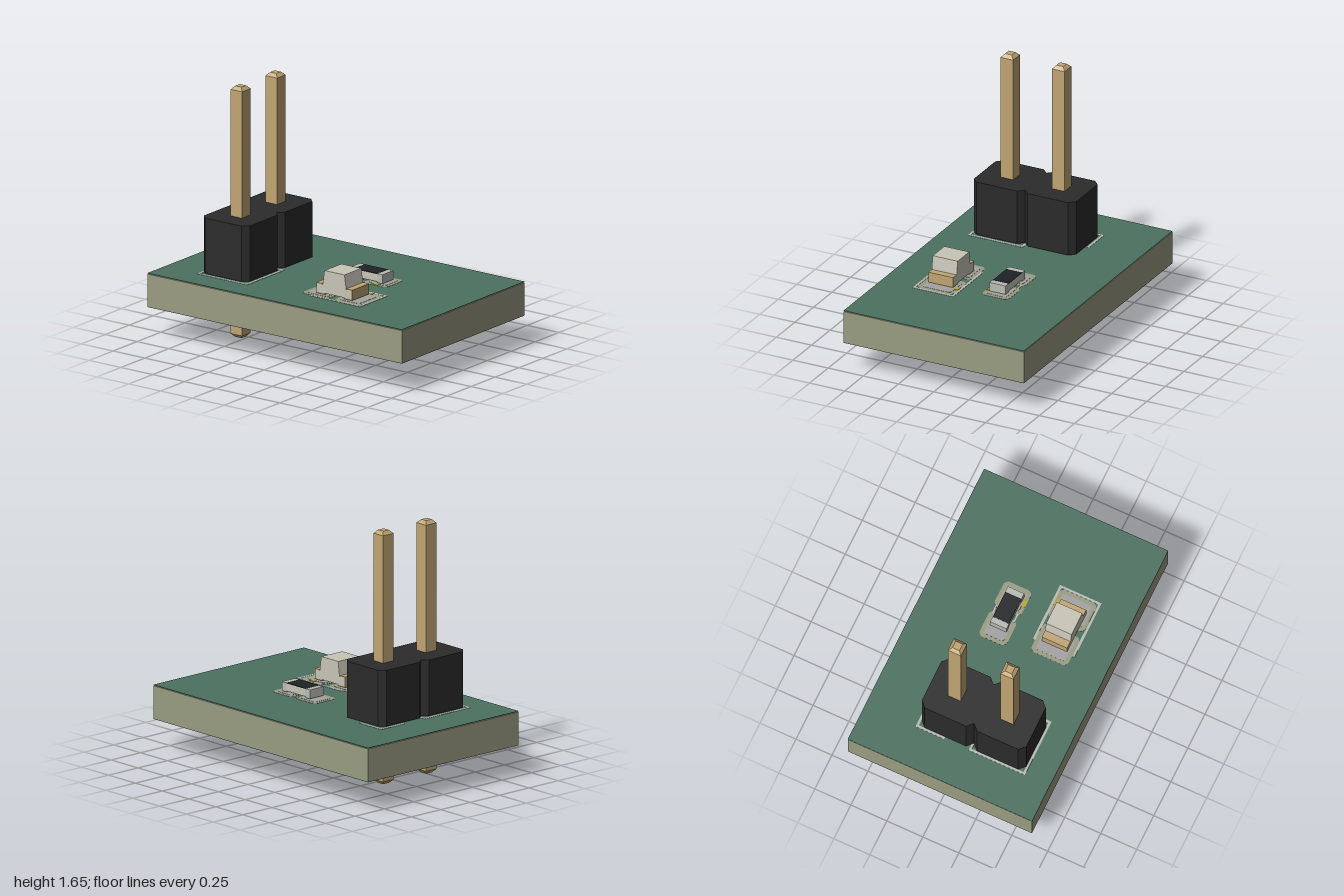
import * as THREE from 'three';

const mat = (color) => new THREE.MeshStandardMaterial({ color, flatShading: true });
const M = {
  core: mat(0x9a9d82), mask: mat(0x4c7160), copper: mat(0xb8ab1c), silk: mat(0xb9bbb5),
  tin: mat(0xa3a3a3), plastic: mat(0x2b2b2b), gold: mat(0xc2a674), ceramic: mat(0xc8c6b8),
  cap: mat(0xbcbcb6), dark: mat(0x202325),
};
const TOP = 0.424, BOTTOM = 0.2;

export function createModel() {
  const root = new THREE.Group();

  function add(parent, name, geometry, material, x = 0, y = 0, z = 0) {
    const mesh = new THREE.Mesh(geometry, material);
    mesh.name = name;
    mesh.position.set(x, y, z);
    parent.add(mesh);
    return mesh;
  }
  function group(name) {
    const g = new THREE.Group();
    g.name = name;
    root.add(g);
    return g;
  }
  // box given by its limits on each axis
  function box(parent, name, material, [x0, x1], [y0, y1], [z0, z1]) {
    return add(parent, name, new THREE.BoxGeometry(x1 - x0, y1 - y0, z1 - z0), material,
      (x0 + x1) / 2, (y0 + y1) / 2, (z0 + z1) / 2);
  }
  // flat outline raised upwards
  function slab(shape, height) {
    return new THREE.ExtrudeGeometry(shape, { depth: height, bevelEnabled: false, curveSegments: 8 })
      .rotateX(-Math.PI / 2);
  }
  function roundedRect(w, d, r) {
    const s = new THREE.Shape(), a = w / 2, b = d / 2;
    s.absarc(a - r, b - r, r, 0, Math.PI / 2);
    s.absarc(r - a, b - r, r, Math.PI / 2, Math.PI);
    s.absarc(r - a, r - b, r, Math.PI, Math.PI * 1.5);
    s.absarc(a - r, r - b, r, Math.PI * 1.5, Math.PI * 2);
    return s;
  }
  // box whose upper face is smaller than its lower face
  function frustum(w0, d0, w1, d1, h) {
    const g = new THREE.BoxGeometry(1, h, 1), p = g.attributes.position;
    for (let i = 0; i < p.count; i++) {
      const up = p.getY(i) > 0;
      p.setX(i, p.getX(i) * (up ? w1 : w0));
      p.setZ(i, p.getZ(i) * (up ? d1 : d0));
    }
    g.computeVertexNormals();
    return g;
  }

  // board: core, copper and solder mask layers
  const board = group('circuitBoard');
  box(board, 'boardCore', M.core, [-1, 1], [0.203, 0.417], [-0.64, 0.64]);
  box(board, 'copperLayer', M.copper, [-0.92, 0.91], [0.417, 0.421], [-0.56, 0.56]);
  box(board, 'topMask', M.mask, [-1, 1], [0.421, TOP], [-0.64, 0.64]);
  box(board, 'bottomMask', M.mask, [-1, 1], [BOTTOM, 0.203], [-0.64, 0.64]);

  // surface pads, each in a mask opening
  const pads = group('solderPads');
  function pad(x0, x1, z0, z1) {
    const w = x1 - x0, d = z1 - z0, x = (x0 + x1) / 2, z = (z0 + z1) / 2;
    add(pads, 'padOpening', slab(roundedRect(w, d, 0.035), 0.0015), M.core, x, TOP, z);
    add(pads, 'pad', slab(roundedRect(w - 0.05, d - 0.05, 0.02), 0.003), M.tin, x, TOP, z);
  }
  pad(-0.02, 0.165, -0.2, -0.01);
  pad(0.2, 0.385, -0.2, -0.01);
  pad(0.025, 0.235, 0.14, 0.395);
  pad(0.275, 0.485, 0.14, 0.395);
  box(pads, 'traceEnd', M.copper, [0.27, 0.315], [TOP, 0.4285], [-0.037, -0.013]);
  box(pads, 'traceEnd', M.copper, [0.365, 0.405], [TOP, 0.4285], [0.142, 0.166]);

  // printed outlines
  const outlines = group('printedOutlines');
  function line(x0, z0, x1, z1, t = 0.016) {
    box(outlines, 'outline', M.silk, [Math.min(x0, x1) - t / 2, Math.max(x0, x1) + t / 2],
      [TOP, TOP + 0.002], [Math.min(z0, z1) - t / 2, Math.max(z0, z1) + t / 2]);
  }
  function path(points) {
    for (let i = 1; i < points.length; i++) line(...points[i - 1], ...points[i]);
  }
  path([[-0.734, -0.1], [-0.734, -0.284], [-0.545, -0.284]]);
  path([[-0.734, 0.085], [-0.734, 0.46], [-0.355, 0.46], [-0.355, 0.085], [-0.734, 0.085]]);
  path([[0.11, 0.132], [0.494, 0.132], [0.494, 0.405], [0.11, 0.405]]);
  for (const z of [-0.178, -0.032]) line(0.158, z, 0.207, z, 0.01);

  // pin header
  const header = group('pinHeader');
  const px = -0.545, pinZ = [-0.093, 0.272], half = 0.1815, cut = 0.038;
  const a = half, b = half - cut;
  const outline = new THREE.Shape([
    [a, cut], [a, 2 * half - cut], [b, 2 * half], [-b, 2 * half], [-a, 2 * half - cut], [-a, cut],
    [-b, 0], [-a, -cut], [-a, cut - 2 * half], [-b, -2 * half], [b, -2 * half], [a, cut - 2 * half],
    [a, -cut], [b, 0],
  ].reverse().map(([x, y]) => new THREE.Vector2(x, y)));
  add(header, 'housing', slab(outline, 0.365), M.plastic, px, 0.432, 0.09);

  pinZ.forEach((z, i) => {
    const pin = new THREE.Group();
    pin.name = 'pin';
    pin.position.set(px, 0, z);
    header.add(pin);
    add(pin, 'shaft', new THREE.BoxGeometry(0.09, 1.605, 0.09), M.gold, 0, 0.8255, 0);
    add(pin, 'upperTip', frustum(0.09, 0.09, 0.048, 0.048, 0.022), M.gold, 0, 1.639, 0);
    add(pin, 'lowerTip', frustum(0.048, 0.048, 0.09, 0.09, 0.023), M.gold, 0, 0.0115, 0);
    // square land at the first pin, round at the second
    const land = (size) => roundedRect(size, size, i === 0 ? 0.005 : size / 2 - 0.0005);
    for (const [y, s] of [[TOP, 1], [BOTTOM, -1]]) {
      const at = (h) => (s > 0 ? y : y - h);
      add(pin, 'landOpening', slab(land(0.29), 0.0015), M.core, 0, at(0.0015), 0);
      add(pin, 'land', slab(land(0.24), 0.004), M.tin, 0, at(0.004), 0);
    }
  });

  // chip resistor
  const resistor = group('chipResistor');
  box(resistor, 'body', M.ceramic, [0.1, 0.3], [0.438, 0.487], [-0.156, -0.046]);
  box(resistor, 'coating', M.dark, [0.108, 0.292], [0.487, 0.492], [-0.156, -0.046]);
  for (const [x0, x1] of [[0.07, 0.11], [0.29, 0.332]])
    box(resistor, 'endCap', M.cap, [x0, x1], [0.432, 0.491], [-0.158, -0.044]);

  // light emitting diode: base, gold ends and tapered lens
  const diode = group('lightDiode');
  box(diode, 'base', M.ceramic, [0.118, 0.392], [0.44, 0.495], [0.181, 0.357]);
  add(diode, 'lens', frustum(0.185, 0.177, 0.157, 0.177, 0.095), M.ceramic, 0.257, 0.5425, 0.269);
  for (const s of [-1, 1]) {
    const span = (p, q) => [0.255 + s * p, 0.255 + s * q].sort((m, n) => m - n);
    box(diode, 'terminalTop', M.gold, span(0.095, 0.141), [0.495, 0.501], [0.181, 0.357]);
    box(diode, 'terminalEnd', M.gold, span(0.137, 0.141), [0.432, 0.501], [0.181, 0.357]);
    box(diode, 'terminalFoot', M.gold, span(0.075, 0.141), [0.432, 0.44], [0.181, 0.357]);
  }

  return root;
}
